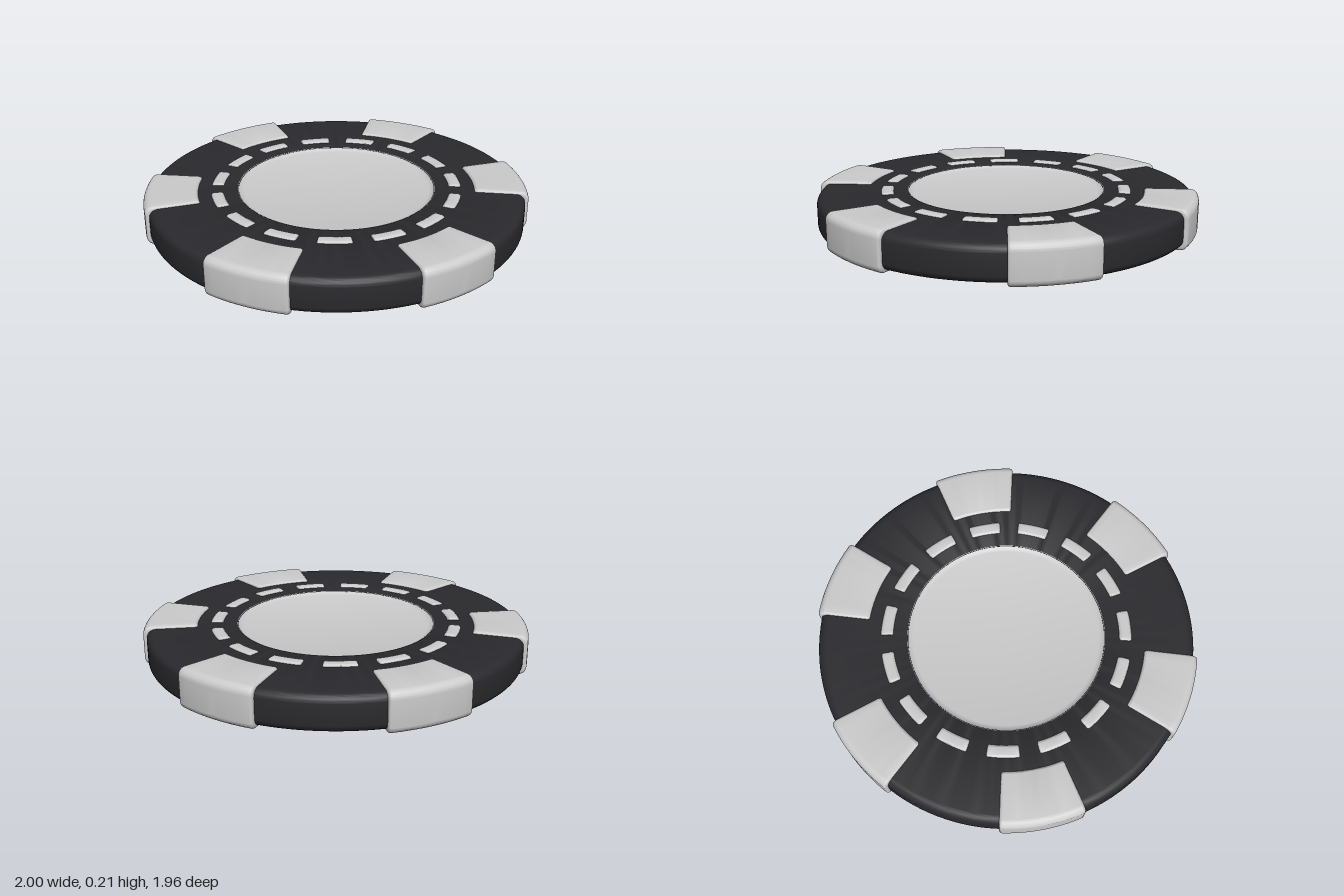
import * as THREE from 'three';
import { toCreasedNormals } from 'three/addons/utils/BufferGeometryUtils.js';

const H = 0.208;      // full thickness, over the raised inserts
const BODY = 0.012;   // how far the dark body sits below them
const grey = new THREE.MeshStandardMaterial({ color: 0xcccccc });
const dark = new THREE.MeshStandardMaterial({ color: 0x2a2a2e });

// Rounded rectangle in (radius, height), with its own inner and outer corner radii
function section(r0, r1, y0, y1, inner, outer) {
  const s = new THREE.Shape();
  s.moveTo(r0 + inner, y0);
  s.lineTo(r1 - outer, y0);
  s.absarc(r1 - outer, y0 + outer, outer, -Math.PI / 2, 0);
  s.lineTo(r1, y1 - outer);
  s.absarc(r1 - outer, y1 - outer, outer, 0, Math.PI / 2);
  s.lineTo(r0 + inner, y1);
  s.absarc(r0 + inner, y1 - inner, inner, Math.PI / 2, Math.PI);
  s.lineTo(r0, y0 + inner);
  s.absarc(r0 + inner, y0 + inner, inner, Math.PI, Math.PI * 1.5);
  return s;
}

// Bevelled bar bent around the y axis, so it becomes a piece of a ring
function ringPiece(r0, r1, y0, y1, halfAngle, inner, outer, bevel) {
  const half = halfAngle * r1;
  const geo = new THREE.ExtrudeGeometry(section(r0, r1, y0, y1, inner, outer), {
    depth: 2 * (half - bevel), steps: 10, curveSegments: 6,
    bevelEnabled: true, bevelSize: bevel, bevelThickness: bevel,
    bevelOffset: -bevel, bevelSegments: 4,
  });
  const p = geo.attributes.position;
  for (let i = 0; i < p.count; i++) {
    const r = p.getX(i);
    const a = (p.getZ(i) - half + bevel) / r1;
    p.setXYZ(i, r * Math.cos(a), p.getY(i), r * Math.sin(a));
  }
  return toCreasedNormals(geo, 0.6);
}

// Places copies of one piece evenly around the chip
function around(name, geo, count) {
  const group = new THREE.Group();
  group.name = name + 's';
  for (let i = 0; i < count; i++) {
    const mesh = new THREE.Mesh(geo, grey);
    mesh.name = name;
    mesh.rotation.y = (i / count) * Math.PI * 2;
    group.add(mesh);
  }
  return group;
}

function lathe(name, points, material) {
  const geo = toCreasedNormals(new THREE.LatheGeometry(points, 128), 0.6);
  const mesh = new THREE.Mesh(geo, material);
  mesh.name = name;
  return mesh;
}

export function createModel() {
  const chip = new THREE.Group();
  chip.name = 'chip';
  const low = BODY, high = H - BODY;

  // Dark body: a ring with a rounded rim
  const ring = section(0.51, 0.981, low, high, 0.003, 0.045).getPoints(6);
  ring.push(ring[0].clone());
  chip.add(lathe('body', ring, dark));

  // Centre inlay, sunk a little below both faces with a sloping rim
  const rim = [[0, 0.014], [0.485, 0.014], [0.497, 0.011], [0.507, 0.004], [0.515, -0.001]];
  const bottom = rim.map(([r, d]) => new THREE.Vector2(r, low + d));
  const top = rim.map(([r, d]) => new THREE.Vector2(r, high - d)).reverse();
  chip.add(lathe('centreInlay', [...bottom, ...top], grey));

  // Six edge inserts wrapping over the rim
  chip.add(around('edgeInsert', ringPiece(0.72, 1, 0, H, 0.221, 0.018, 0.04, 0.016), 6));

  // Ring of fifteen small dashes, showing on both faces
  chip.add(around('dash', ringPiece(0.587, 0.655, 0.002, H - 0.002, 0.132, 0.018, 0.018, 0.01), 15));

  return chip;
}
